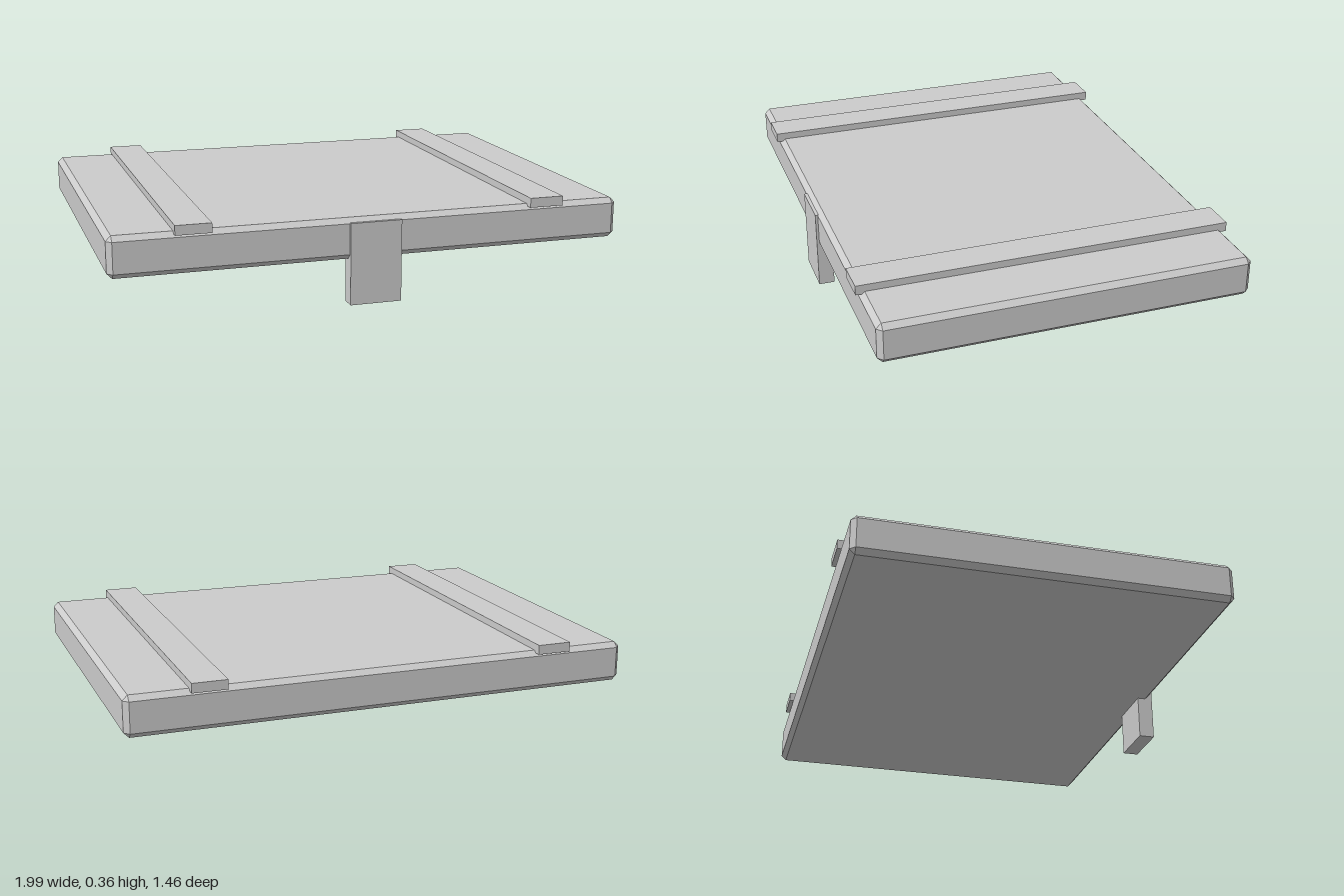
import * as THREE from 'three';
import { ConvexGeometry } from 'three/addons/geometries/ConvexGeometry.js';

const grey = new THREE.MeshStandardMaterial({ color: 0xcccccc });
grey.name = 'light grey';

// Box with every edge and corner cut flat by c
function chamferedBox(w, h, d, c) {
  const points = [];
  for (const sx of [-1, 1]) for (const sy of [-1, 1]) for (const sz of [-1, 1]) {
    const x = w / 2, y = h / 2, z = d / 2;
    points.push(
      new THREE.Vector3(sx * x, sy * (y - c), sz * (z - c)),
      new THREE.Vector3(sx * (x - c), sy * y, sz * (z - c)),
      new THREE.Vector3(sx * (x - c), sy * (y - c), sz * z)
    );
  }
  return new ConvexGeometry(points);
}

export function createModel() {
  const model = new THREE.Group();
  model.name = 'lid';

  const add = (name, geometry, x, y, z) => {
    const mesh = new THREE.Mesh(geometry, grey);
    mesh.name = name;
    mesh.position.set(x, y, z);
    model.add(mesh);
  };

  // Lid slab with worn, bevelled edges
  add('lidPanel', chamferedBox(1.99, 0.158, 1.436, 0.02), 0, 0.252, 0);

  // Two battens running front to back across the top
  for (const [name, side] of [['leftBatten', 1], ['rightBatten', -1]]) {
    add(name, new THREE.BoxGeometry(0.135, 0.037, 1.464), side * 0.687, 0.34, 0);
  }

  // Hasp hanging from the front edge
  add('hasp', new THREE.BoxGeometry(0.2, 0.314, 0.062), 0, 0.157, 0.697);

  return model;
}
